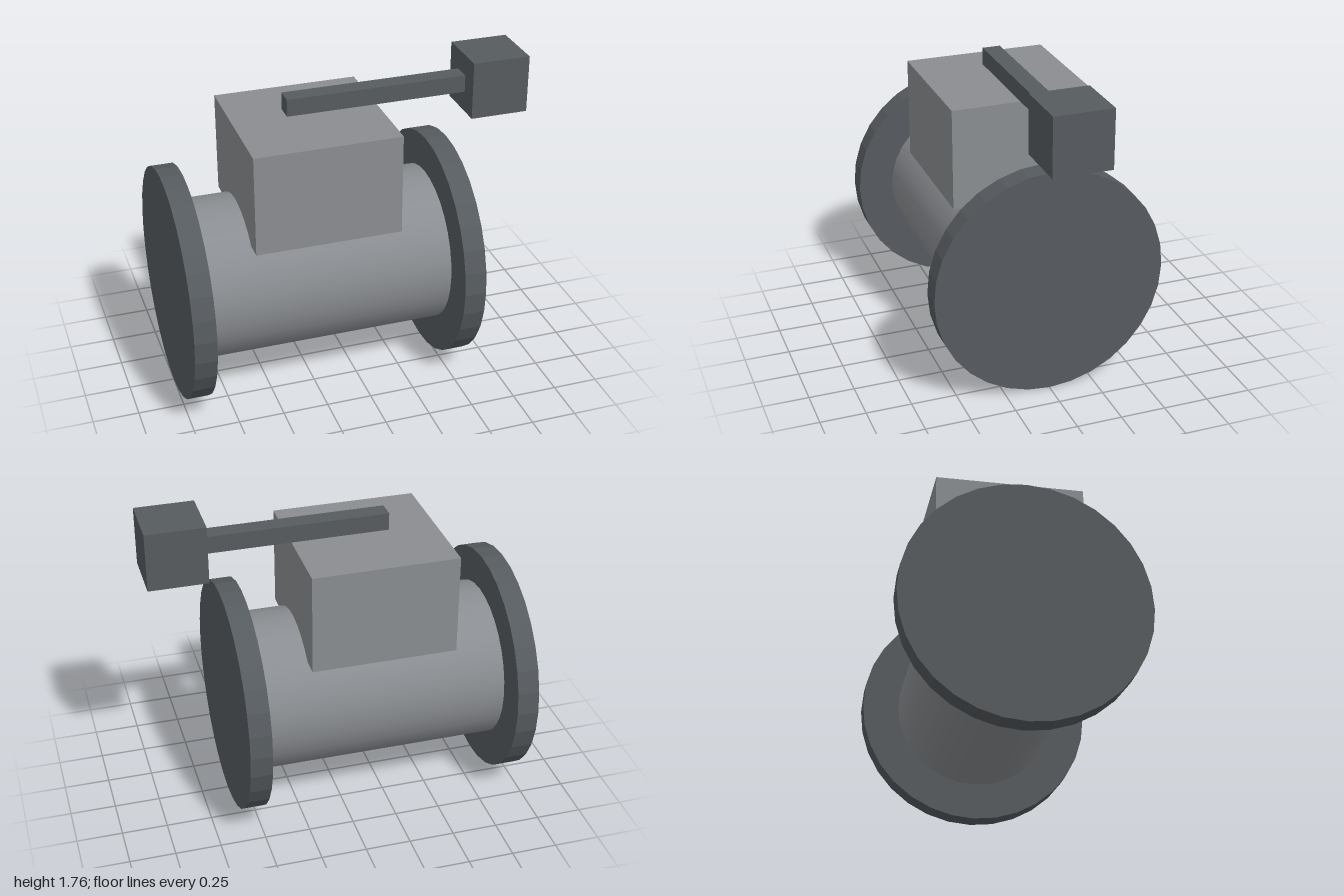
import * as THREE from 'three';

const light = new THREE.MeshStandardMaterial({ color: 0x8a8d91 });
const dark = new THREE.MeshStandardMaterial({ color: 0x565b5f });
const darkFlat = dark.clone();
darkFlat.flatShading = true;

const AXIS_Y = 0.64;

export function createModel() {
  const group = new THREE.Group();

  function add(name, geometry, material, x, y) {
    const mesh = new THREE.Mesh(geometry, material);
    mesh.name = name;
    mesh.position.set(x, y, 0);
    group.add(mesh);
  }

  // cylinder lying along x
  const drum = (radius, length) =>
    new THREE.CylinderGeometry(radius, radius, length, 32).rotateZ(Math.PI / 2);

  // smooth pipe body between two faceted end flanges
  add('body', drum(0.44, 1.36), light, -0.2, AXIS_Y);
  for (const [name, x] of [['rightFlange', -0.94], ['leftFlange', 0.54]]) {
    add(name, drum(0.64, 0.12), darkFlat, x, AXIS_Y);
  }

  // housing block sunk into the top of the body
  add('housing', new THREE.BoxGeometry(0.8, 0.56, 0.8), light, -0.2, 1.24);

  // lever arm above the housing with a counterweight at its end
  add('lever', new THREE.BoxGeometry(1.0, 0.096, 0.1), dark, 0.18, 1.6);
  add('counterweight', new THREE.BoxGeometry(0.32, 0.32, 0.32), dark, 0.84, 1.6);

  return group;
}
